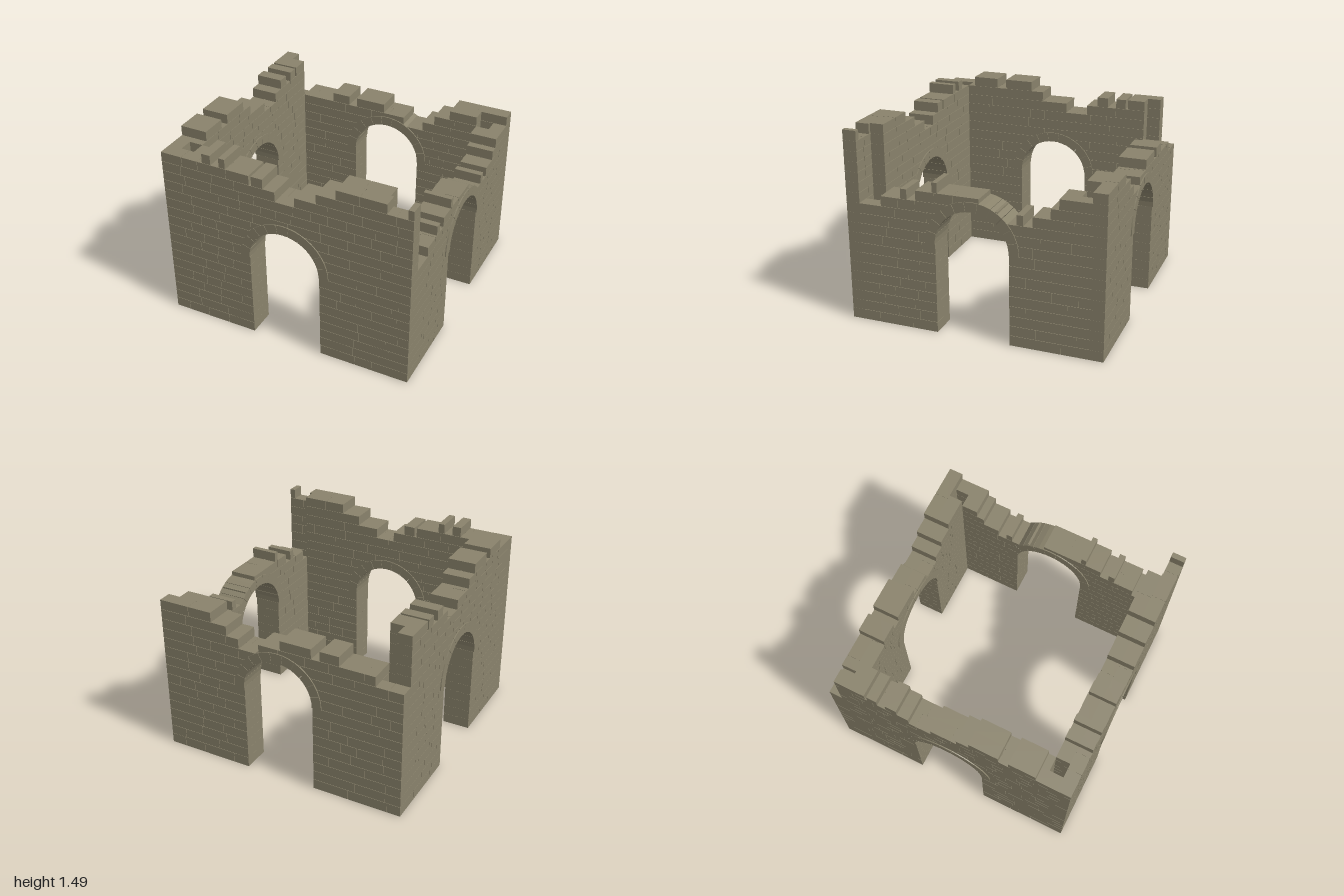
import * as THREE from 'three';
import { mergeGeometries } from 'three/addons/utils/BufferGeometryUtils.js';

const COURSE = 1.492 / 19;   // height of one course of stone
const SPRING = 0.71;         // height where the arch begins
const R_IN = 0.285, R_OUT = 0.36;
const OUTER = 0.992, MIDDLE = 0.885, INNER = 0.778;

// Broken wall tops: [right end of the step, height in courses], running from -1 to 1
const FRONT = [[-0.64, 18], [-0.57, 19], [-0.5, 18], [-0.45, 19], [-0.26, 18], [-0.24, 17], [-0.15, 18],
  [-0.055, 17], [0.1, 16], [0.27, 17], [0.42, 18], [0.8, 19], [0.95, 18], [1, 19]];
const RIGHT = [[-0.71, 12], [-0.55, 13], [-0.5, 14], [-0.43, 13], [-0.3, 14], [-0.26, 15], [0.06, 14],
  [0.2, 13], [0.34, 12], [0.39, 13], [0.46, 12], [0.59, 13], [0.65, 14], [1, 15]];
const BACK = [[-0.55, 16], [-0.42, 15], [-0.32, 14], [-0.15, 13], [0.03, 14], [0.28, 15], [0.35, 14],
  [0.5, 15], [0.78, 14], [1, 13]];
const LEFT = [[-0.64, 18], [-0.62, 17], [-0.54, 18], [-0.47, 17], [-0.38, 18], [-0.29, 17], [-0.11, 16],
  [0.1, 17], [0.2, 18], [0.43, 19], [0.51, 18], [0.72, 19], [1, 18]];

function seeded(seed) {
  return () => {
    seed = (seed * 16807) % 2147483647;
    return seed / 2147483647;
  };
}

function box(x0, x1, y0, y1, z0, z1) {
  return new THREE.BoxGeometry(x1 - x0, y1 - y0, z1 - z0)
    .translate((x0 + x1) / 2, (y0 + y1) / 2, (z0 + z1) / 2);
}

// Stretches of one course that still stand, leaving out the archway
function standingRuns(profile, course, limit) {
  const runs = [];
  let start = -1;
  for (const [end, height] of profile) {
    if (height > course) {
      const last = runs[runs.length - 1];
      if (last && last[1] === start) last[1] = end;
      else runs.push([start, end]);
    }
    start = end;
  }
  const rise = Math.max(0, course * COURSE - SPRING);
  const gap = rise < 0.29 ? Math.sqrt(0.29 ** 2 - rise ** 2) : 0;
  const half = rise > 0 ? gap : gap && R_IN;
  const sides = half ? [[-limit, -half], [half, limit]] : [[-limit, limit]];
  return runs.flatMap(([a, b]) => sides
    .map(([lo, hi]) => [Math.max(a, lo), Math.min(b, hi)])
    .filter(([p, q]) => q - p > 0.004));
}

// One leaf of stonework: bricks with narrow joints over a slightly recessed core
function leafGeometry(profile, limit, z0, z1, random) {
  const parts = [];
  for (let c = 0; c < 19; c++) {
    const y0 = c * COURSE, y1 = y0 + COURSE;
    for (const [a, b] of standingRuns(profile, c, limit)) {
      parts.push(box(a + 0.001, b - 0.001, y0, y1 - 0.002, z0 + 0.005, z1 - 0.005));
      let x = a;
      while (x < b - 0.001) {
        let next = x + 0.12 + random() * 0.2;
        if (b - next < 0.08) next = b;
        parts.push(box(x === a ? a : x + 0.002, next === b ? b : next - 0.002,
          y0 + (c ? 0.003 : 0), y1, z0, z1));
        x = next;
      }
    }
  }
  return mergeGeometries(parts);
}

// Ring of wedge stones, standing a little proud of both wall faces
function archGeometry() {
  const stones = 11, steps = 2, parts = [];
  for (let i = 0; i < stones; i++) {
    const a0 = (i / stones) * Math.PI + (i ? 0.004 : 0);
    const a1 = ((i + 1) / stones) * Math.PI - (i < stones - 1 ? 0.004 : 0);
    const points = [];
    for (let k = 0; k <= steps; k++) {
      const a = a0 + ((a1 - a0) * k) / steps;
      points.push(new THREE.Vector2(Math.cos(a) * R_OUT, Math.sin(a) * R_OUT));
    }
    for (let k = steps; k >= 0; k--) {
      const a = a0 + ((a1 - a0) * k) / steps;
      points.push(new THREE.Vector2(Math.cos(a) * R_IN, Math.sin(a) * R_IN));
    }
    parts.push(new THREE.ExtrudeGeometry(new THREE.Shape(points), { depth: 0.23, bevelEnabled: false }));
  }
  return mergeGeometries(parts).translate(0, SPRING, 0.77);
}

export function createModel() {
  const model = new THREE.Group();
  model.name = 'ruinedGatehouse';
  const stone = new THREE.MeshStandardMaterial({ color: 0x8a836c });
  stone.name = 'stone';

  const arch = archGeometry();
  const walls = [
    ['frontWall', FRONT, 0, 0.992],
    ['rightWall', RIGHT, Math.PI / 2, MIDDLE],
    ['backWall', BACK, Math.PI, 0.992],
    ['leftWall', LEFT, -Math.PI / 2, MIDDLE],
  ];
  walls.forEach(([name, profile, turn, limit], i) => {
    const wall = new THREE.Group();
    wall.name = name;
    const random = seeded(101 + i * 977);
    const add = (part, geometry) => {
      const mesh = new THREE.Mesh(geometry, stone);
      mesh.name = part;
      wall.add(mesh);
    };
    add('outerStonework', leafGeometry(profile, limit, MIDDLE, OUTER, random));
    // Inner leaves stop short, leaving a square shaft at each corner
    add('innerStonework', leafGeometry(profile, INNER, INNER, MIDDLE, random));
    add('archStones', arch);
    wall.rotation.y = turn;
    model.add(wall);
  });
  return model;
}
